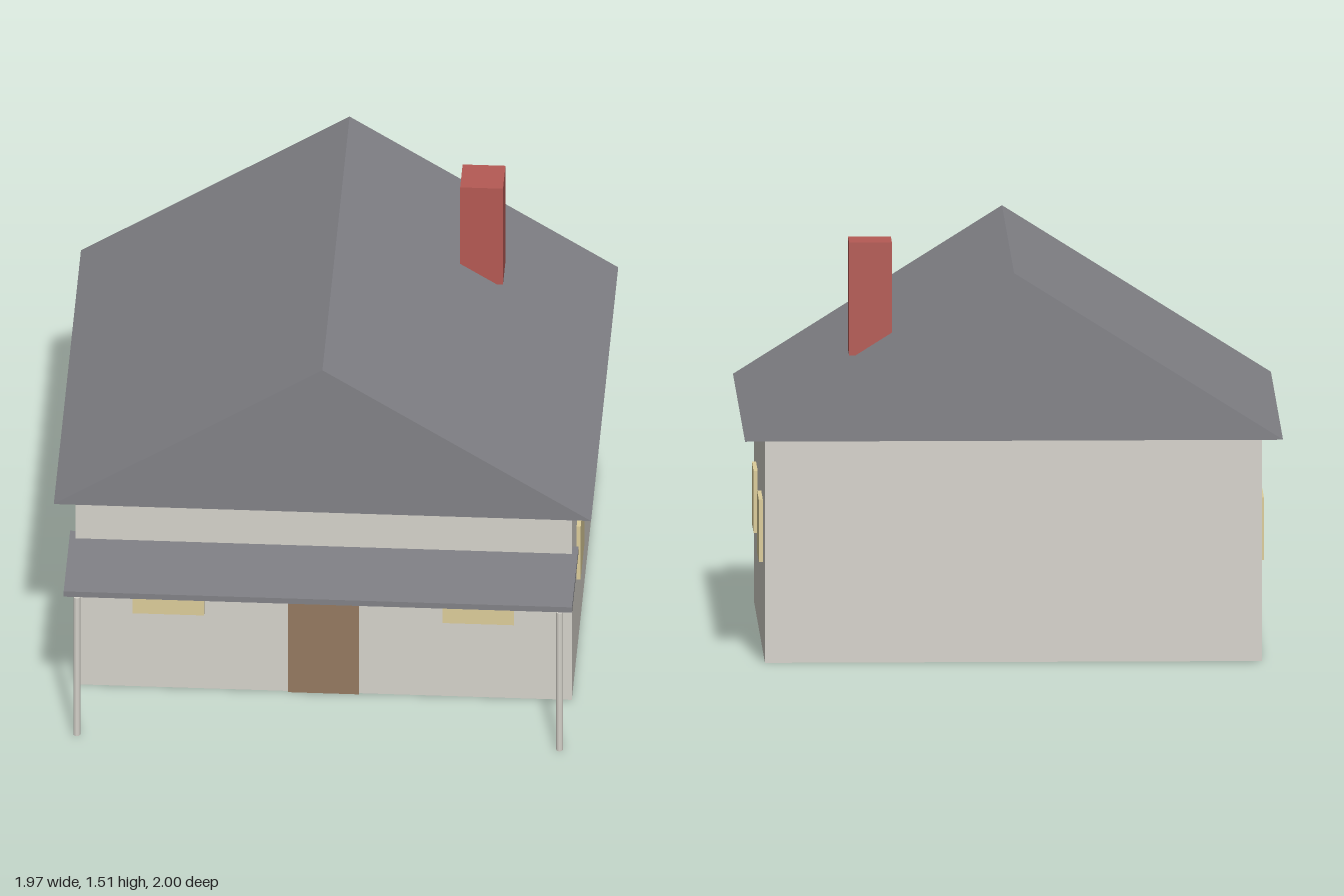
import * as THREE from 'three';

const paint = (color) => new THREE.MeshStandardMaterial({ color });

export function createModel() {
  const house = new THREE.Group();
  house.name = 'house';

  const wallMat = paint(0xd6d3cb);
  const roofMat = paint(0x828287);
  const glassMat = paint(0xdccd9a);
  const doorMat = paint(0x957a61);
  const brickMat = paint(0xb55a54);

  const add = (name, geometry, material) => {
    const mesh = new THREE.Mesh(geometry, material);
    mesh.name = name;
    house.add(mesh);
    return mesh;
  };

  // Box given by its limits along each axis
  const box = (name, material, [x0, x1], [y0, y1], [z0, z1]) =>
    add(name, new THREE.BoxGeometry(x1 - x0, y1 - y0, z1 - z0), material)
      .position.set((x0 + x1) / 2, (y0 + y1) / 2, (z0 + z1) / 2);

  // Main body
  box('walls', wallMat, [-0.91, 0.91], [0, 0.83], [-0.92, 0.64]);

  // Solid gable roof, ridge running front to back
  const gable = new THREE.Shape([
    new THREE.Vector2(-0.985, 0.83),
    new THREE.Vector2(0.985, 0.83),
    new THREE.Vector2(0, 1.45),
  ]);
  add('roof', new THREE.ExtrudeGeometry(gable, { depth: 1.714, bevelEnabled: false }), roofMat)
    .position.z = -1;

  // Chimney standing on the right-hand slope
  box('chimney', brickMat, [0.437, 0.594], [1.09, 1.508], [-0.612, -0.457]);

  // Door
  box('door', doorMat, [-0.13, 0.13], [0.003, 0.52], [0.62, 0.653]);

  // Porch canopy
  box('porchCanopy', roofMat, [-0.932, 0.932], [0.613, 0.636], [0.59, 1]);

  for (const side of [-1, 1]) {
    // Porch posts
    add('porchPost', new THREE.CylinderGeometry(0.013, 0.013, 0.6, 8), wallMat)
      .position.set(side * 0.885, 0.3, 0.977);

    // Front window
    const frontX = side * 0.568;
    box('frontWindow', glassMat, [frontX - 0.131, frontX + 0.131], [0.33, 0.56], [0.62, 0.66]);

    // Side windows
    for (const z of [0.222, -0.505]) {
      const x = side * 0.905;
      box('sideWindow', glassMat, [x - 0.02, x + 0.02], [0.33, 0.56], [z - 0.116, z + 0.116]);
    }
  }

  return house;
}
